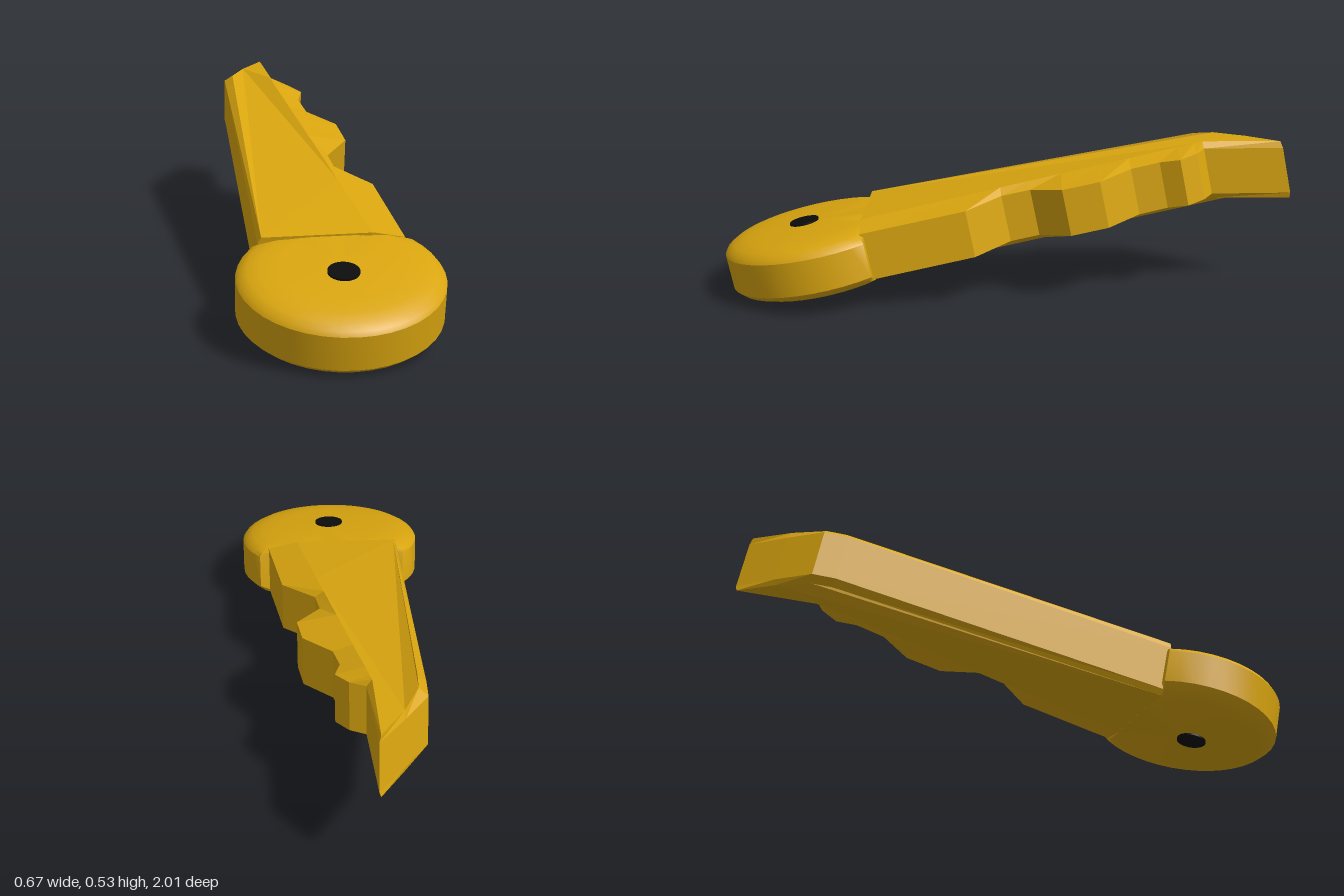
import * as THREE from 'three';
import { toCreasedNormals } from 'three/addons/utils/BufferGeometryUtils.js';

const TILT = 0.2;
const gold = new THREE.MeshStandardMaterial({ color: 0xd9a50f });
const goldFlat = new THREE.MeshStandardMaterial({ color: 0xd9a50f, flatShading: true });
const black = new THREE.MeshStandardMaterial({ color: 0x0c0c0c });

// Blade stations, counter-clockwise from above: [outline x, outline z, raised panel x, panel z]
const stations = [
  [-0.247, 0.49, -0.235, 0.49],
  [0.13, 0.49, 0.128, 0.49],
  [0.238, 0.49, 0.13, 0.488],
  [0.193, 0.13, 0.07, 0.13],
  [0.08, 0.01, 0.05, 0.01],
  [0.068, -0.09, 0.033, -0.09],
  [0.15, -0.2, 0.015, -0.2],
  [0.135, -0.33, -0.007, -0.33],
  [0.04, -0.44, -0.025, -0.44],
  [0.022, -0.54, -0.042, -0.54],
  [0.042, -0.61, -0.055, -0.61],
  [0.0, -0.67, -0.063, -0.67],
  [-0.052, -0.7, -0.07, -0.7],
  [-0.072, -0.98, -0.078, -0.975],
  [-0.16, -0.87, -0.158, -0.86],
  [-0.24, -0.76, -0.21, -0.75],
  [-0.241, -0.68, -0.213, -0.68],
];

// The blade climbs toward the back and levels out at the tip
function place(x, z, h) {
  const mid = 0.195 + (0.49 - Math.max(z, -0.7)) * 0.198;
  return [x, mid + h * 0.98, z + h * 0.2];
}

function bladeGeometry() {
  const rings = [
    stations.map((s) => place(s[2], s[3], -0.105)),
    stations.map((s) => place(s[0], s[1], -0.085)),
    stations.map((s) => place(s[0], s[1], 0.082)),
    stations.map((s) => place(s[2], s[3], 0.105)),
  ];
  const pos = [];
  const tri = (a, b, c) => pos.push(...a, ...b, ...c);
  const n = stations.length;
  for (let r = 0; r < 3; r++) {
    for (let i = 0; i < n; i++) {
      const j = (i + 1) % n;
      const [a, b] = [rings[r], rings[r + 1]];
      tri(a[i], a[j], b[j]);
      tri(a[i], b[j], b[i]);
    }
  }
  // Flat panels closing the top and bottom
  const contour = stations.map((s) => new THREE.Vector2(s[2], -s[3]));
  for (const [a, b, c] of THREE.ShapeUtils.triangulateShape(contour, [])) {
    tri(rings[3][a], rings[3][b], rings[3][c]);
    tri(rings[0][c], rings[0][b], rings[0][a]);
  }
  const geo = new THREE.BufferGeometry();
  geo.setAttribute('position', new THREE.Float32BufferAttribute(pos, 3));
  geo.computeVertexNormals();
  return geo;
}

// Round bow with softened rims, cut flat where it meets the blade
function bowGeometry() {
  const profile = [
    [0, -0.1], [0.25, -0.1], [0.285, -0.093], [0.315, -0.08], [0.335, -0.06],
    [0.335, 0.06], [0.325, 0.074], [0.3, 0.088], [0.26, 0.098], [0.2, 0.104], [0, 0.106],
  ].map(([r, y]) => new THREE.Vector2(r, y));
  const geo = new THREE.LatheGeometry(profile, 40);
  const p = geo.attributes.position;
  for (let i = 0; i < p.count; i++) p.setZ(i, Math.max(p.getZ(i), -0.195));
  return toCreasedNormals(geo, 0.6);
}

export function createModel() {
  const model = new THREE.Group();
  model.name = 'key';

  const blade = new THREE.Mesh(bladeGeometry(), goldFlat);
  blade.name = 'toothedBlade';

  const head = new THREE.Group();
  head.name = 'head';
  head.position.set(0, 0.153, 0.668);
  head.rotation.x = TILT;

  const bow = new THREE.Mesh(bowGeometry(), gold);
  bow.name = 'bow';

  // Dark plug running through the bow
  const hole = new THREE.Mesh(new THREE.CylinderGeometry(0.052, 0.052, 0.218, 24), black);
  hole.name = 'keyringHole';
  hole.position.set(0, 0.003, 0.04);

  head.add(bow, hole);
  model.add(blade, head);
  return model;
}
